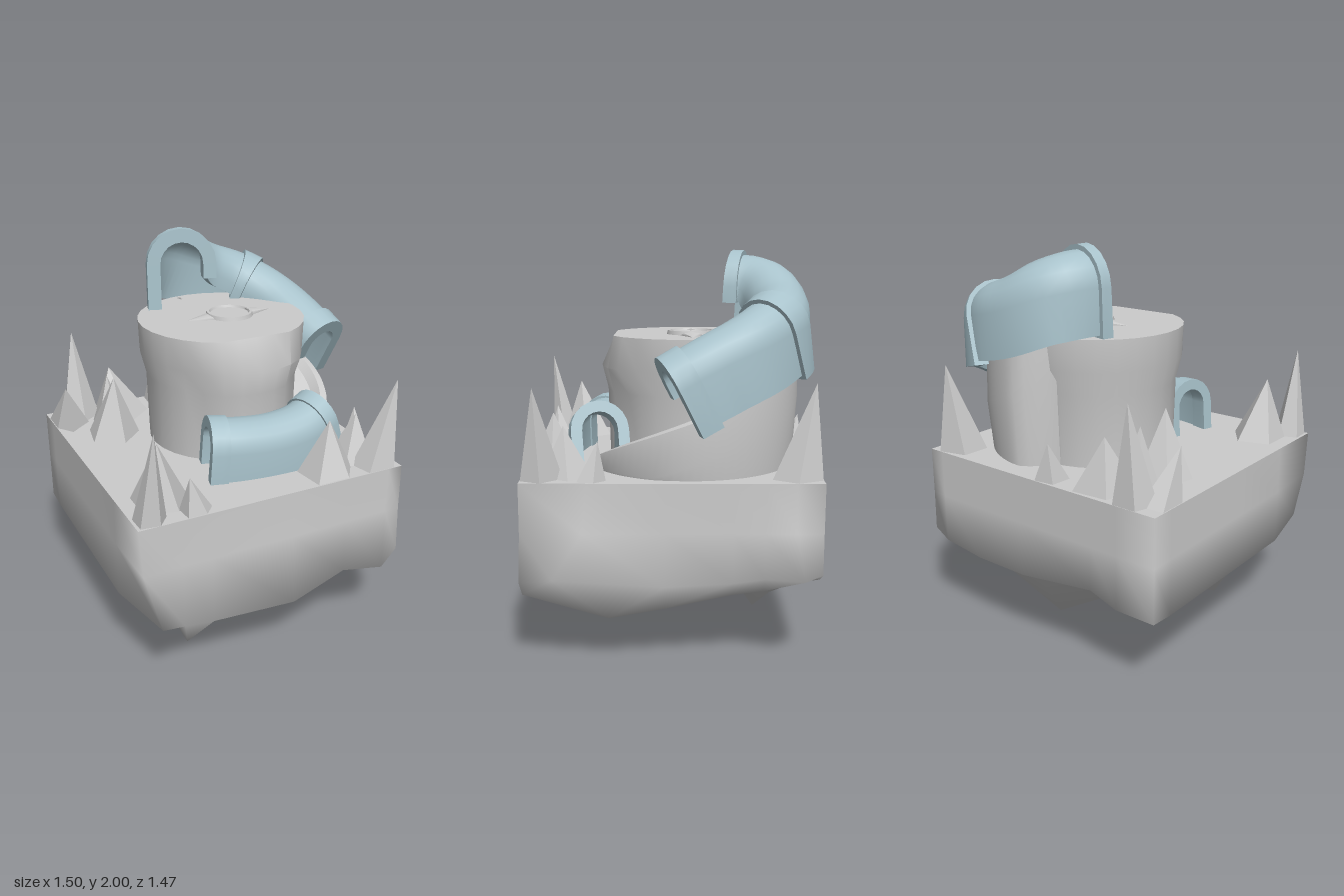
import * as THREE from 'three';
import { toCreasedNormals } from 'three/addons/utils/BufferGeometryUtils.js';

const V = (x, y, z) => new THREE.Vector3(x, y, z);
const GROUND = 0.94;

function build(points, faces, crease) {
  const geo = new THREE.BufferGeometry().setFromPoints(points);
  geo.setIndex(faces);
  return toCreasedNormals(geo, crease);
}

// Skin a list of equal, closed cross-sections; ends are closed as strips across the section
function loft(rings, crease = 0.6) {
  const n = rings[0].length, last = (rings.length - 1) * n, faces = [];
  for (let k = 0; k < rings.length - 1; k++) {
    for (let i = 0; i < n; i++) {
      const a = k * n + i, b = k * n + (i + 1) % n, c = b + n, d = a + n;
      faces.push(a, d, c, a, c, b);
    }
  }
  for (let i = 0; i < n / 2 - 1; i++) {
    const a = i, b = i + 1, c = n - 2 - i, d = n - 1 - i;
    faces.push(a, b, c, a, c, d);
    faces.push(last + a, last + c, last + b, last + a, last + d, last + c);
  }
  return build(rings.flat(), faces, crease);
}

// Arched shell swept along part of a curve; legs may differ inside and outside the bend
function arch(curve, t0, t1, { w, wall, legIn, legOut, taper = 0 }, steps) {
  const rings = [], seg = 10;
  for (let k = 0; k <= steps; k++) {
    const t = t0 + (t1 - t0) * k / steps;
    const c = curve.getPointAt(t), T = curve.getTangentAt(t);
    const S = T.clone().cross(V(0, 1, 0)).normalize(), N = S.clone().cross(T);
    const at = (u, v) => c.clone().addScaledVector(S, u).addScaledVector(N, v);
    const half = r => {
      const pts = [at(r, -legIn)];
      for (let i = 0; i <= seg; i++) {
        const a = Math.PI * i / seg;
        pts.push(at(r * Math.cos(a), r * Math.sin(a)));
      }
      pts.push(at(-r, -legOut));
      return pts;
    };
    const r = w * (1 - taper * t);
    rings.push([...half(r), ...half(r - wall).reverse()]);
  }
  return loft(rings);
}

// Rock: smooth lumpy underside grid with walls rising to the flat top
function rockGeometry() {
  const xs = [-0.75, -0.54, -0.39, 0.04, 0.34, 0.58, 0.665];
  const rows = [
    [-0.74, 0.43, 0.43, 0.48, 0.42, 0.42, 0.45, 0.5],
    [-0.61, 0.42, 0.41, 0.42, 0.34, 0.36, 0.43, 0.49],
    [-0.47, 0.42, 0.37, 0.36, 0.1, 0.27, 0.39, 0.48],
    [-0.32, 0.42, 0.36, 0.35, 0.32, 0.34, 0.37, 0.46],
    [0.0, 0.42, 0.34, 0.28, 0.12, 0.21, 0.3, 0.44],
    [0.36, 0.42, 0.33, 0.0, 0.22, 0.28, 0.25, 0.5],
    [0.685, 0.42, 0.37, 0.35, 0.34, 0.42, 0.37, 0.46],
  ];
  const nx = xs.length, nz = rows.length, pts = [], faces = [], rim = [];
  rows.forEach(([z, ...h]) => h.forEach((y, i) => pts.push(V(xs[i], y, z))));
  // Outcrops that stand out from the grid
  pts[2 * nx - 1].set(0.73, 0.49, -0.65);
  pts[6 * nx - 1].set(0.74, 0.5, 0.52);
  pts[5 * nx + 5].z = 0.27;
  pts[6 * nx].set(-0.67, 0.42, 0.73);
  pts[6 * nx + 3].z = 0.71;
  for (let j = 0; j < nz - 1; j++) {
    for (let i = 0; i < nx - 1; i++) {
      const a = j * nx + i, b = a + 1, c = b + nx, d = a + nx;
      faces.push(a, b, d, b, c, d);
    }
  }
  for (let i = 0; i < nx - 1; i++) rim.push([i, 0]);
  for (let j = 0; j < nz - 1; j++) rim.push([nx - 1, j]);
  for (let i = nx - 1; i > 0; i--) rim.push([i, nz - 1]);
  for (let j = nz - 1; j > 0; j--) rim.push([0, j]);
  const base = pts.length, n = rim.length;
  const tops = rim.map(([i, j]) => V(
    i === 0 ? -0.75 : i === nx - 1 ? 0.66 : xs[i], GROUND,
    j === 0 ? -0.74 : j === nz - 1 ? 0.675 : rows[j][0]));
  const low = rim.map(([i, j]) => j * nx + i);
  pts.push(...tops.map((p, k) => p.clone().lerp(pts[low[k]], 0.15).setY(0.7)), ...tops);
  for (let k = 0; k < n; k++) {
    const q = (k + 1) % n, m = base, t = base + n;
    faces.push(low[k], m + k, m + q, low[k], m + q, low[q]);
    faces.push(m + k, t + k, t + q, m + k, t + q, m + q);
  }
  return build(pts, faces, Math.PI);
}

// Drum: slightly wider towards the top, with the front of the top trimmed flat
function drumGeometry() {
  const profile = [[0.385, 0.9], [0.395, 1.3], [0.425, 1.42], [0.43, 1.58], [0, 1.58]];
  const geo = new THREE.LatheGeometry(profile.map(([r, y]) => new THREE.Vector2(r, y)), 28);
  geo.translate(0.05, 0, -0.13);
  const p = geo.attributes.position;
  for (let i = 0; i < p.count; i++) {
    if (p.getY(i) > 1.5) p.setZ(i, Math.min(p.getZ(i), 0.255));
    else if (p.getZ(i) > 0.2) p.setZ(i, p.getZ(i) + 0.03);
  }
  return toCreasedNormals(geo, 0.7);
}

// Spiral ramp hugging the drum, with a shallow channel on top and a rounded-off high end
function rampGeometry() {
  const rings = [], steps = 32;
  for (let k = 0; k <= steps; k++) {
    const t = k / steps, a = THREE.MathUtils.degToRad(62 - 168 * t), y = 1.0 + 0.58 * t;
    const foot = Math.min(0.2, y - 0.95);
    const shrink = 0.12 * THREE.MathUtils.smoothstep(t, 0.86, 1);
    const section = [
      [0.3, 0.9], [0.3, y], [0.38, y - 0.03], [0.46, y - 0.03],
      [0.5, y + 0.01], [0.535, y], [0.54, y - foot], [0.515, 0.9],
    ];
    rings.push(section.map(([r, h]) => {
      const q = r > 0.4 ? r - shrink : r;
      return V(0.09 + q * Math.cos(a), h, -0.13 + q * Math.sin(a));
    }));
  }
  return loft(rings.map(r => r.reverse()), 0.6);
}

export function createModel() {
  const model = new THREE.Group();
  const stone = new THREE.MeshStandardMaterial({ color: 0xcccccc });
  const shard = new THREE.MeshStandardMaterial({ color: 0xcccccc, flatShading: true });
  const openStone = new THREE.MeshStandardMaterial({ color: 0xcccccc, side: THREE.DoubleSide });
  const metal = new THREE.MeshStandardMaterial({ color: 0xa8c2cb, side: THREE.DoubleSide });
  const add = (name, geo, mat, parent = model) => {
    const mesh = new THREE.Mesh(geo, mat);
    mesh.name = name;
    parent.add(mesh);
    return mesh;
  };

  add('rockBase', rockGeometry(), stone);
  add('groundTop', new THREE.PlaneGeometry(1.41, 1.415).rotateX(-Math.PI / 2)
    .translate(-0.045, GROUND, -0.0325), stone);
  add('drum', drumGeometry(), stone);
  add('spiralRamp', rampGeometry(), openStone);

  // Round boss with two tapering fins on the drum top
  const boss = new THREE.Group();
  boss.name = 'topBoss';
  boss.position.set(0.1, 1.58, -0.13);
  model.add(boss);
  const ring = [[0.125, -0.01], [0.118, 0.02], [0.105, 0.02], [0.1, 0.008], [0, 0.008]];
  add('bossRing', toCreasedNormals(new THREE.LatheGeometry(
    ring.map(([r, y]) => new THREE.Vector2(r, y)), 24), 0.5), stone, boss);
  for (const s of [-1, 1]) {
    const fin = add('bossFin', new THREE.ConeGeometry(0.06, 0.14, 8), stone, boss);
    fin.rotation.z = -s * Math.PI / 2;
    fin.position.x = s * 0.17;
    fin.scale.x = 0.3;
  }

  // Pipes: a body plus wider collars
  function pipe(name, points, body, collar, spans, steps) {
    const group = new THREE.Group();
    group.name = name;
    model.add(group);
    const curve = new THREE.CatmullRomCurve3(points.map(p => V(...p)));
    add(name + 'Body', arch(curve, 0.02, 0.98, body, steps), metal, group);
    for (const [a, b] of spans) add(name + 'Collar', arch(curve, a, b, collar, 3), metal, group);
  }
  pipe('upperPipe', [
    [-0.07, 1.815, -0.34], [-0.04, 1.81, -0.44], [0.03, 1.78, -0.515], [0.16, 1.71, -0.555],
    [0.33, 1.65, -0.53], [0.48, 1.56, -0.39], [0.56, 1.465, -0.2], [0.605, 1.375, -0.03],
  ], { w: 0.158, wall: 0.04, legIn: 0.06, legOut: 0.22, taper: 0.13 },
  { w: 0.182, wall: 0.07, legIn: 0.08, legOut: 0.24, taper: 0.15 },
  [[0, 0.05], [0.46, 0.54], [0.91, 1]], 32);
  pipe('lowerPipe', [
    [-0.24, 1.09, 0.3], [-0.1, 1.08, 0.335], [0.08, 1.075, 0.355], [0.25, 1.095, 0.35], [0.38, 1.14, 0.315],
  ], { w: 0.132, wall: 0.035, legIn: 0.16, legOut: 0.16 },
  { w: 0.143, wall: 0.055, legIn: 0.17, legOut: 0.17 },
  [[0, 0.14], [0.88, 1]], 18);

  // Crystals: base x, base z, base radius, apex x, y, z
  const crystals = [
    [-0.58, -0.65, 0.11, -0.58, 1.41, -0.71], [-0.69, -0.58, 0.14, -0.7, 1.18, -0.48],
    [-0.36, -0.59, 0.17, -0.4, 1.2, -0.64], [-0.5, -0.33, 0.15, -0.49, 1.27, -0.3],
    [-0.46, -0.48, 0.11, -0.47, 1.22, -0.47], [-0.09, -0.66, 0.1, -0.12, 1.13, -0.71],
    [0.55, -0.62, 0.13, 0.56, 1.39, -0.7],
    [-0.56, 0.46, 0.15, -0.58, 1.25, 0.5], [-0.67, 0.61, 0.085, -0.66, 1.39, 0.67],
    [-0.44, 0.62, 0.09, -0.48, 1.12, 0.63],
    [0.29, 0.57, 0.16, 0.3, 1.21, 0.55], [0.49, 0.47, 0.14, 0.5, 1.18, 0.48],
    [0.55, 0.6, 0.13, 0.65, 1.38, 0.6], [0.6, 0.35, 0.08, 0.61, 1.13, 0.31],
  ];
  crystals.forEach(([x, z, r, ax, ay, az], i) => {
    const h = ay - GROUND + 0.02;
    const geo = new THREE.ConeGeometry(r, h, 5, 1, false, i * 1.3).translate(0, h / 2, 0);
    const p = geo.attributes.position;
    for (let k = 0; k < p.count; k++) {
      const t = p.getY(k) / h;
      p.setX(k, THREE.MathUtils.clamp(x + p.getX(k), -0.75, 0.66) + (ax - x) * t);
      p.setZ(k, THREE.MathUtils.clamp(z + p.getZ(k), -0.74, 0.675) + (az - z) * t);
      p.setY(k, p.getY(k) + GROUND - 0.02);
    }
    add('crystal', geo, shard);
  });
  return model;
}
